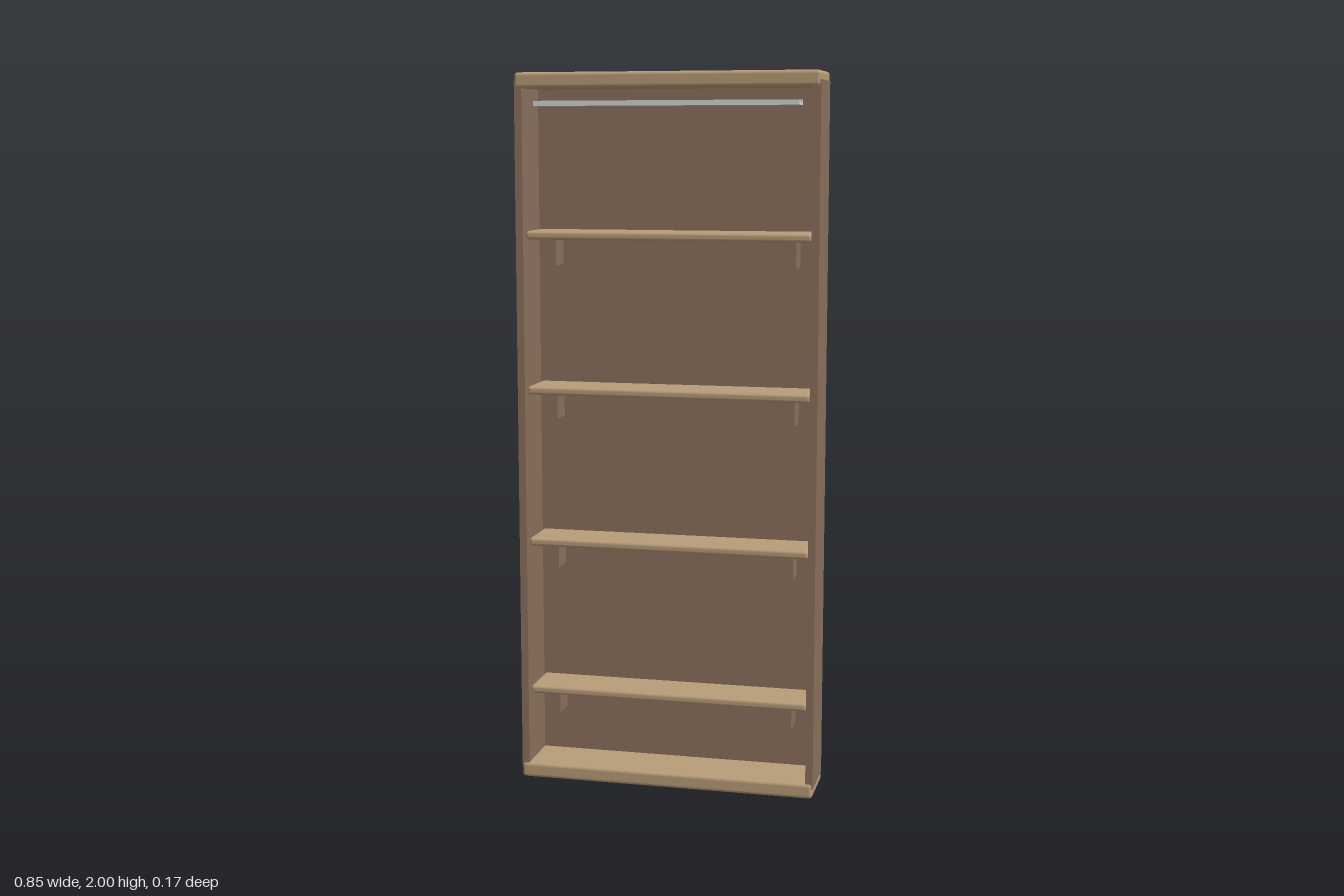
import * as THREE from 'three';
import { RoundedBoxGeometry } from 'three/addons/geometries/RoundedBoxGeometry.js';

export function createModel() {
  const group = new THREE.Group();
  const mat = (name, color) => Object.assign(new THREE.MeshStandardMaterial({ color }), { name });
  const tan = mat('light wood', 0xb79c78);
  const brown = mat('brown wood', 0x8a705d);
  const metal = mat('pale metal', 0xd3d6d4);

  // Box given by its min and max corners; a radius rounds its edges
  function box(name, material, [x0, y0, z0], [x1, y1, z1], radius = 0) {
    const size = [x1 - x0, y1 - y0, z1 - z0];
    const geometry = radius
      ? new RoundedBoxGeometry(...size, 4, radius)
      : new THREE.BoxGeometry(...size);
    const mesh = new THREE.Mesh(geometry, material);
    mesh.position.set((x0 + x1) / 2, (y0 + y1) / 2, (z0 + z1) / 2);
    mesh.name = name;
    group.add(mesh);
  }

  // Top and bottom boards
  box('topBoard', tan, [-0.422, 1.957, -0.085], [0.422, 2, 0.083], 0.01);
  box('bottomBoard', tan, [-0.422, 0, -0.085], [0.422, 0.043, 0.083], 0.01);

  // Carcass: side panels let into the boards, thin back panel
  box('rightSide', brown, [-0.423, 0.027, -0.082], [-0.402, 1.975, 0.078]);
  box('leftSide', brown, [0.402, 0.027, -0.082], [0.423, 1.975, 0.078]);
  box('backPanel', brown, [-0.422, 0.043, -0.085], [0.422, 1.957, -0.075]);

  // Shelves, each resting on two brackets
  for (let i = 0; i < 4; i++) {
    const y = 0.257 + i * 0.4335;
    box('shelf', tan, [-0.4, y - 0.012, -0.078], [0.4, y + 0.012, 0.063], 0.009);
    for (const x of [-0.34, 0.34]) {
      box('bracket', brown, [x - 0.008, y - 0.087, -0.076], [x + 0.008, y - 0.011, -0.002]);
    }
  }

  // Light strip under the top board: plate with two raised rails
  box('lightPlate', metal, [-0.367, 1.909, 0.03], [0.367, 1.917, 0.085]);
  for (const z of [0.036, 0.079]) {
    box('lightRail', metal, [-0.367, 1.916, z - 0.006], [0.367, 1.923, z + 0.006]);
  }
  return group;
}
